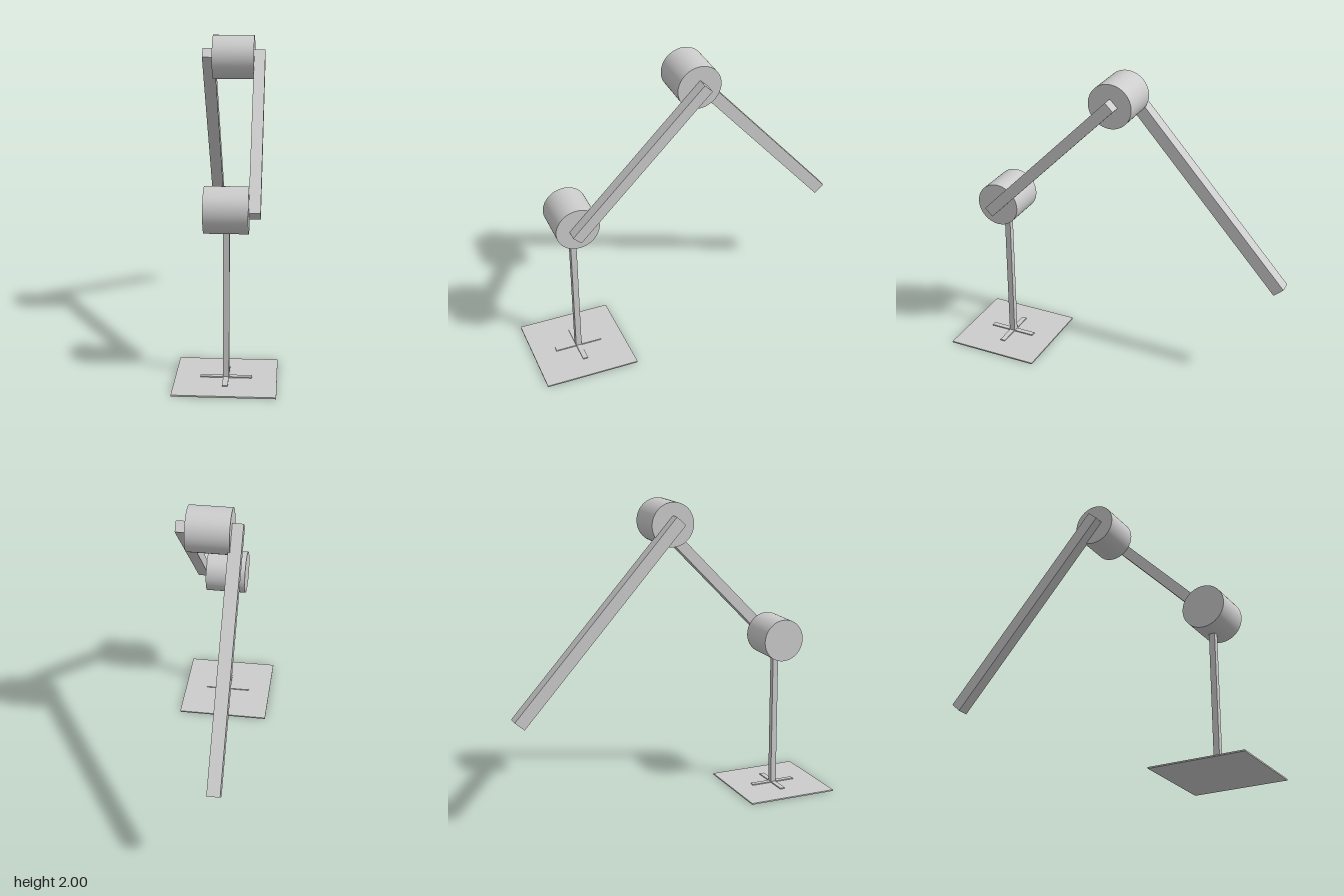
import * as THREE from 'three';

export function createModel() {
  const model = new THREE.Group();
  model.name = 'jointedArmStand';

  const grey = new THREE.MeshStandardMaterial({ color: 0xcccccc });
  grey.name = 'light grey';

  // The arms swing in the local x-y plane; the joint axes run along local z
  const stand = new THREE.Group();
  stand.name = 'stand';
  stand.position.set(0.552, 0, 0.339);
  stand.rotation.y = THREE.MathUtils.degToRad(-40.5);
  model.add(stand);

  const add = (name, geometry, x, y, z) => {
    const mesh = new THREE.Mesh(geometry, grey);
    mesh.name = name;
    mesh.position.set(x, y, z);
    stand.add(mesh);
    return mesh;
  };

  const plateTop = 0.009;
  const poleSize = 0.038;
  const lowerPivot = new THREE.Vector2(0, 1.045);
  const upperPivot = new THREE.Vector2(-0.79, 1.86);

  // Base plate, with four flat feet around the pole
  add('basePlate', new THREE.BoxGeometry(0.613, plateTop, 0.613), 0, plateTop / 2, 0);
  const footLength = 0.155 - poleSize / 2;
  for (let i = 0; i < 4; i++) {
    const angle = (i * Math.PI) / 2;
    const reach = poleSize / 2 + footLength / 2;
    const foot = add('foot', new THREE.BoxGeometry(footLength, 0.007, 0.034),
      Math.cos(angle) * reach, plateTop + 0.0035, -Math.sin(angle) * reach);
    foot.rotation.y = angle;
  }

  // Upright pole
  const poleHeight = lowerPivot.y - 0.1 - plateTop;
  add('pole', new THREE.BoxGeometry(poleSize, poleHeight, poleSize), 0, plateTop + poleHeight / 2, 0);

  // Joint drums
  const drum = new THREE.CylinderGeometry(0.14, 0.14, 0.265, 64).rotateX(Math.PI / 2);
  add('lowerJoint', drum, lowerPivot.x, lowerPivot.y, 0);
  add('upperJoint', drum, upperPivot.x, upperPivot.y, 0);

  // Square bar between two points of the swing plane
  const addBar = (name, from, to, size, z) => {
    const span = to.clone().sub(from);
    const bar = add(name, new THREE.BoxGeometry(span.length(), size, size),
      (from.x + to.x) / 2, (from.y + to.y) / 2, z);
    bar.rotation.z = span.angle();
  };

  // Lower arm on the back of the drums, upper arm on the front
  addBar('lowerArm', new THREE.Vector2(0.029, 1.016), new THREE.Vector2(-0.817, 1.885), 0.071, -0.166);
  addBar('upperArm', new THREE.Vector2(-0.762, 1.89), new THREE.Vector2(-1.824, 0.712), 0.08, 0.16);

  return model;
}
